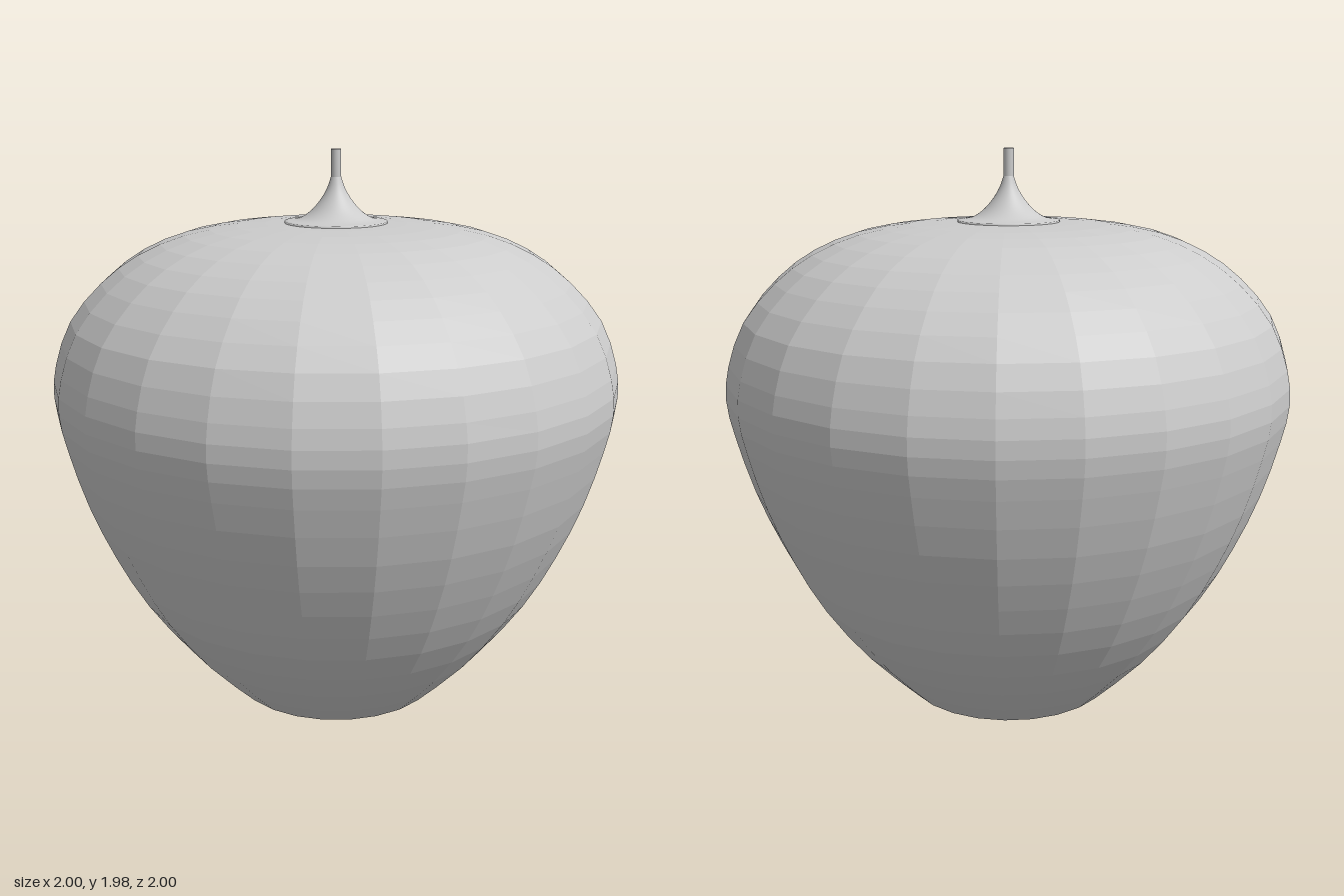
import * as THREE from 'three';

const shadeGrey = new THREE.MeshStandardMaterial({ color: 0xcccccc });
shadeGrey.name = 'pale grey';

const points = (list) => list.map(([x, y]) => new THREE.Vector2(x, y));

function addMesh(group, name, geometry) {
  const mesh = new THREE.Mesh(geometry, shadeGrey);
  mesh.name = name;
  group.add(mesh);
}

// Faceted revolved surface: every face gets its own normal
function facetedLathe(profile, sides) {
  const geometry = new THREE.LatheGeometry(profile, sides).toNonIndexed();
  geometry.computeVertexNormals();
  return geometry;
}

export function createModel() {
  const group = new THREE.Group();
  group.name = 'pendantLamp';

  // Shade: swelling outline from the open bottom rim to the flat crown
  const outline = new THREE.SplineCurve(points([
    [0.375, 0.005], [0.56, 0.19], [0.72, 0.4], [0.83, 0.6], [0.915, 0.8],
    [0.975, 1.0], [1.0, 1.13], [0.987, 1.25], [0.93, 1.4], [0.82, 1.53],
    [0.69, 1.625], [0.53, 1.69], [0.35, 1.72], [0.17, 1.728],
  ])).getPoints(26);
  outline.push(new THREE.Vector2(0, 1.728));

  // Thin wall: inner lining runs down, then the outside runs up
  const lining = outline
    .map((p) => new THREE.Vector2(p.x * 0.975, p.y > 0.01 ? p.y - 0.015 * Math.min(1, p.y / 1.7) : p.y))
    .reverse();
  addMesh(group, 'shade', facetedLathe([...lining, ...outline], 24));

  // Canopy: smooth flared cone on the crown
  const flare = new THREE.SplineCurve(points([
    [0.18, 1.734], [0.13, 1.742], [0.09, 1.767], [0.056, 1.805],
    [0.032, 1.845], [0.018, 1.885],
  ])).getPoints(16);
  addMesh(group, 'canopy', new THREE.LatheGeometry([new THREE.Vector2(0.18, 1.726), ...flare], 48));

  // Rod: short hanging stem
  const rod = new THREE.CylinderGeometry(0.018, 0.018, 0.11, 24);
  rod.translate(0, 1.925, 0);
  addMesh(group, 'rod', rod);

  return group;
}
